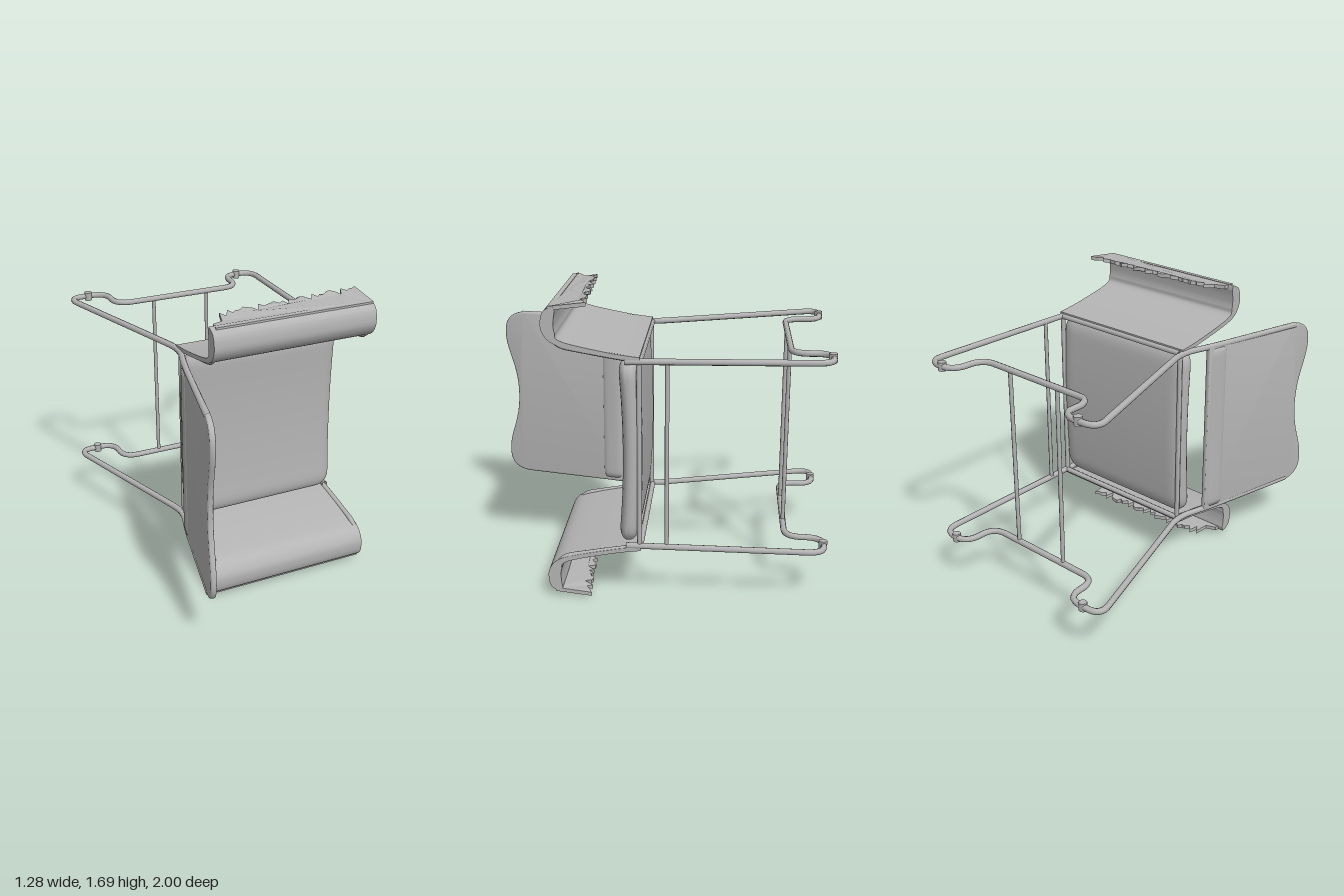
import * as THREE from 'three';
import { toCreasedNormals } from 'three/addons/utils/BufferGeometryUtils.js';

const V = (x, y, z) => new THREE.Vector3(x, y, z);
const MID = 0.855; // mirror plane between the two sides of the chair

// Polyline with rounded corners; r is the corner radius
function roundedPath(pts, r) {
  const path = new THREE.CurvePath();
  let from = pts[0];
  for (let i = 1; i < pts.length - 1; i++) {
    const p = pts[i];
    const cut = q => p.clone().lerp(q, Math.min(r / p.distanceTo(q), 0.48));
    const a = cut(pts[i - 1]), b = cut(pts[i + 1]);
    path.add(new THREE.LineCurve3(from, a));
    path.add(new THREE.QuadraticBezierCurve3(a, p, b));
    from = b;
  }
  path.add(new THREE.LineCurve3(from, pts[pts.length - 1]));
  return path;
}

// Cushion: a box whose vertices are pulled onto rounded edges, then bowed along y
function cushionGeometry(hx, hy, hz, r, rz, bow) {
  const g = new THREE.BoxGeometry(2 * hx, 2 * hy, 2 * hz, 32, 32, 8);
  const pos = g.attributes.position, p = V(0, 0, 0);
  const inner = V(hx - r, hy - r, hz - rz), rad = V(r, r, rz);
  for (let i = 0; i < pos.count; i++) {
    p.fromBufferAttribute(pos, i);
    const q = p.clone().clamp(inner.clone().negate(), inner);
    p.sub(q).divide(rad).normalize().multiply(rad).add(q);
    p.z -= bow * (1 - (p.y / hy) ** 2);
    pos.setXYZ(i, p.x, p.y, p.z);
  }
  return toCreasedNormals(g, 0.8);
}

export function createModel() {
  const group = new THREE.Group();
  const grey = new THREE.MeshStandardMaterial({ color: 0xb4b4b4, side: THREE.DoubleSide });
  grey.name = 'plain grey';

  const add = (name, geometry, x = 0, y = 0, z = 0) => {
    const mesh = new THREE.Mesh(geometry, grey);
    mesh.name = name;
    mesh.position.set(x, y, z);
    group.add(mesh);
    return mesh;
  };
  const tube = (name, pts, r, corner = 0.1, n = 40) =>
    add(name, new THREE.TubeGeometry(roundedPath(pts, corner), n, r, 8));
  const post = (name, x, z, r) =>
    add(name, new THREE.CylinderGeometry(r, r, 1.06, 8), x, MID, z);

  // Seat cushion
  add('seatCushion', cushionGeometry(0.485, 0.525, 0.055, 0.09, 0.05, 0.025), 0.14, MID + 0.005, 0.11);

  // Backrest panel with rounded outer corners and a dipped outer edge
  const a = V(-0.385, 0, 0.23), b = V(-0.55, 0, 0.985);
  const len = a.distanceTo(b), u = b.clone().sub(a).normalize();
  const s = new THREE.Shape();
  s.moveTo(0, -0.525);
  s.lineTo(len - 0.14, -0.525);
  s.bezierCurveTo(len - 0.03, -0.525, len, -0.47, len, -0.4);
  s.bezierCurveTo(len, -0.27, len - 0.075, -0.2, len - 0.075, 0);
  s.bezierCurveTo(len - 0.075, 0.2, len, 0.27, len, 0.4);
  s.bezierCurveTo(len, 0.47, len - 0.03, 0.525, len - 0.14, 0.525);
  s.lineTo(0, 0.525);
  s.closePath();
  const panel = new THREE.ExtrudeGeometry(s, {
    depth: 0.012, bevelThickness: 0.01, bevelSize: 0.01, bevelSegments: 3, curveSegments: 14,
  });
  panel.translate(0, 0, -0.006);
  panel.applyMatrix4(new THREE.Matrix4().makeBasis(u, V(0, 1, 0), V(-u.z, 0, u.x)));
  add('backrestPanel', toCreasedNormals(panel, 0.7), a.x, MID, a.z);

  // Sewn cuff at the lower end of the backrest
  const cuff = add('backrestCuff', cushionGeometry(0.025, 0.52, 0.065, 0.02, 0.05, 0), -0.397, MID, 0.295);
  cuff.rotation.y = Math.atan2(u.x, u.z);

  // Cross bars between the two side frames
  post('backRailBarLeft', 0.19, -0.765, 0.012);
  post('backRailBarRight', -0.17, -0.765, 0.012);
  post('sideBar', 0.603, -0.105, 0.012);
  post('seatBarRight', -0.325, 0.045, 0.014);
  post('seatBarLeft', 0.605, 0.045, 0.014);

  for (const side of [1, -1]) {
    const tag = side > 0 ? 'upper' : 'lower';
    const Y = y => (side > 0 ? y : 2 * MID - y);

    // Bent tube: both legs, their feet, the rail between and the backrest support
    const frame = [[0.608, 0.12], [0.61, -0.98], [0.41, -0.98], [0.41, -0.765], [-0.415, -0.765],
      [-0.415, -0.98], [-0.66, -0.98], [-0.33, 0.05], [-0.395, 0.27], [-0.53, 0.88]];
    tube(tag + 'LegFrame', frame.map(([x, z]) => V(x, Y(1.385 - 0.01 * z), z)), 0.018, 0.1, 260);
    tube(tag + 'SeatRail', [V(-0.325, Y(1.385), 0.04), V(0.605, Y(1.385), 0.04)], 0.016);

    // Foot knobs
    for (const x of [0.5, -0.53])
      add(tag + 'FootKnob', new THREE.CylinderGeometry(0.024, 0.024, 0.05, 8), x, Y(1.395), -0.976);

    // Arm support tubes under the fabric
    for (const x of [-0.325, 0.605])
      tube(tag + 'ArmTube', [V(x, Y(1.39), 0.04), V(x, Y(1.415), 0.2), V(x, Y(1.465), 0.48),
        V(x, Y(1.56), 0.53), V(x, Y(1.64), 0.52)], 0.017, 0.06);

    // Padded arm: thin sling rising to a rolled outer edge
    const arm = new THREE.Shape();
    const P = list => list.map(([z, y]) => new THREE.Vector2(z, Y(y)));
    arm.moveTo(0.04, Y(1.385));
    arm.splineThru(P([[0.2, 1.408], [0.42, 1.452], [0.51, 1.485], [0.553, 1.54], [0.558, 1.6],
      [0.54, 1.65], [0.49, 1.677]]));
    arm.lineTo(0.48, Y(1.65));
    arm.splineThru(P([[0.488, 1.6], [0.485, 1.54], [0.45, 1.488], [0.2, 1.432], [0.04, 1.41]]));
    arm.closePath();
    const armGeo = new THREE.ExtrudeGeometry(arm, { depth: 0.97, bevelEnabled: false, curveSegments: 6 });
    armGeo.rotateY(-Math.PI / 2);
    add(tag + 'Arm', toCreasedNormals(armGeo, 0.7), 0.622);

    // Flap with a ragged edge, sloping outward from the roll
    const flap = new THREE.Shape();
    flap.moveTo(0.62, 0.52);
    flap.lineTo(-0.32, 0.52);
    flap.lineTo(-0.31, 0.46);
    flap.lineTo(-0.25, 0.44);
    for (let i = 0; i <= 36; i++) {
      const t = i / 36;
      const notch = i % 2 ? 0.02 + 0.02 * Math.sin(i * 2.3) : 0;
      flap.lineTo(-0.23 + 0.85 * t, 0.36 - 0.035 * t + notch + 0.008 * Math.sin(i * 1.7));
    }
    flap.closePath();
    const flapGeo = new THREE.ExtrudeGeometry(flap, { depth: 0.022, bevelEnabled: false });
    const pos = flapGeo.attributes.position;
    for (let i = 0; i < pos.count; i++) {
      const x = pos.getX(i), z = pos.getY(i), d = pos.getZ(i) - 0.011;
      const curl = Math.max(0, 0.44 - z) / 0.12;
      pos.setXYZ(i, x, Y(1.664 + 0.026 * curl + 0.005 * curl * Math.sin(x * 60)) - d, z);
    }
    flapGeo.computeVertexNormals();
    add(tag + 'Flap', flapGeo);
  }
  return group;
}
